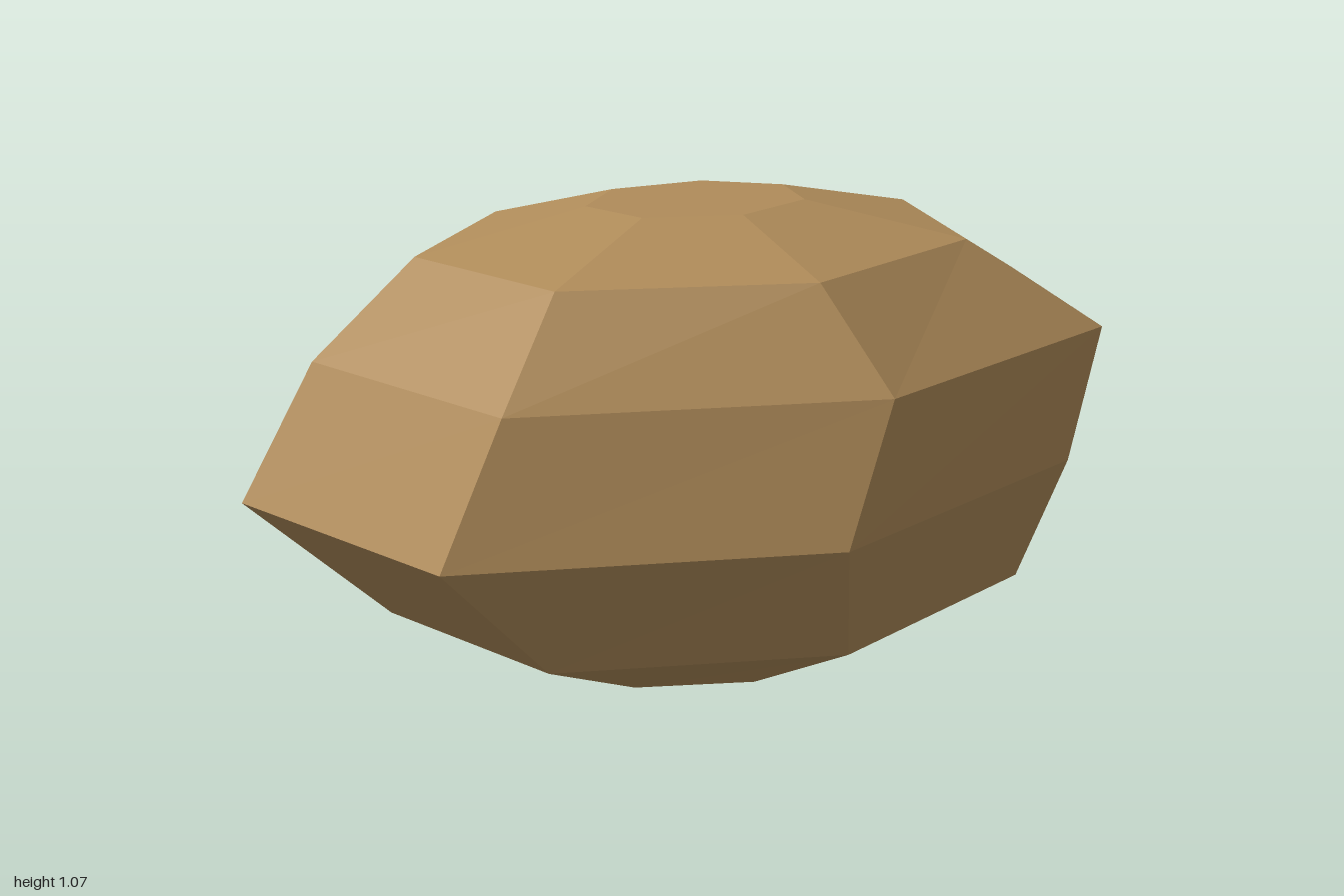
import * as THREE from 'three';

// Horizontal cross-sections of the boulder: height, then seven [x, z] corners
// running left, front, right, back.
const RINGS = [
  [0.0, [[-0.3, -0.06], [-0.2, 0.15], [0.06, 0.235], [0.32, 0.13], [0.36, -0.1], [0.17, -0.26], [-0.13, -0.24]]],
  [0.172, [[-0.685, -0.105], [-0.485, 0.355], [0.135, 0.533], [0.715, 0.29], [0.812, -0.187], [0.36, -0.54], [-0.3, -0.505]]],
  [0.473, [[-1, -0.13], [-0.75, 0.455], [0.05, 0.678], [0.785, 0.375], [0.91, -0.23], [0.33, -0.68], [-0.52, -0.635]]],
  [0.772, [[-0.83, -0.125], [-0.6, 0.425], [0.17, 0.637], [0.877, 0.348], [1, -0.22], [0.44, -0.642], [-0.37, -0.6]]],
  [0.985, [[-0.6, -0.1], [-0.437, 0.307], [0.085, 0.467], [0.567, 0.252], [0.65, -0.172], [0.27, -0.484], [-0.285, -0.455]]],
  [1.07, [[-0.22, -0.055], [-0.155, 0.105], [0.055, 0.168], [0.25, 0.08], [0.28, -0.085], [0.13, -0.203], [-0.095, -0.2]]],
];

function boulderGeometry() {
  const rings = RINGS.map(([y, pts]) => pts.map(([x, z]) => [x, y, z]));
  const n = rings[0].length;
  const pos = [];
  const tri = (a, b, c) => pos.push(...a, ...b, ...c);

  // Faceted sides between neighbouring rings
  for (let r = 0; r < rings.length - 1; r++) {
    for (let i = 0; i < n; i++) {
      const j = (i + 1) % n;
      const [a, b, c, d] = [rings[r][i], rings[r][j], rings[r + 1][j], rings[r + 1][i]];
      tri(a, b, c);
      tri(a, c, d);
    }
  }

  // Flat underside and top
  const bottom = rings[0], top = rings[rings.length - 1];
  for (let i = 1; i < n - 1; i++) {
    tri(bottom[0], bottom[i + 1], bottom[i]);
    tri(top[0], top[i], top[i + 1]);
  }

  const geo = new THREE.BufferGeometry();
  geo.setAttribute('position', new THREE.Float32BufferAttribute(pos, 3));
  geo.computeVertexNormals();
  return geo;
}

export function createModel() {
  const group = new THREE.Group();
  group.name = 'rock';
  const stone = new THREE.MeshStandardMaterial({ color: 0xb08c5a, flatShading: true });
  stone.name = 'sandstone';
  const boulder = new THREE.Mesh(boulderGeometry(), stone);
  boulder.name = 'boulder';
  group.add(boulder);
  return group;
}
